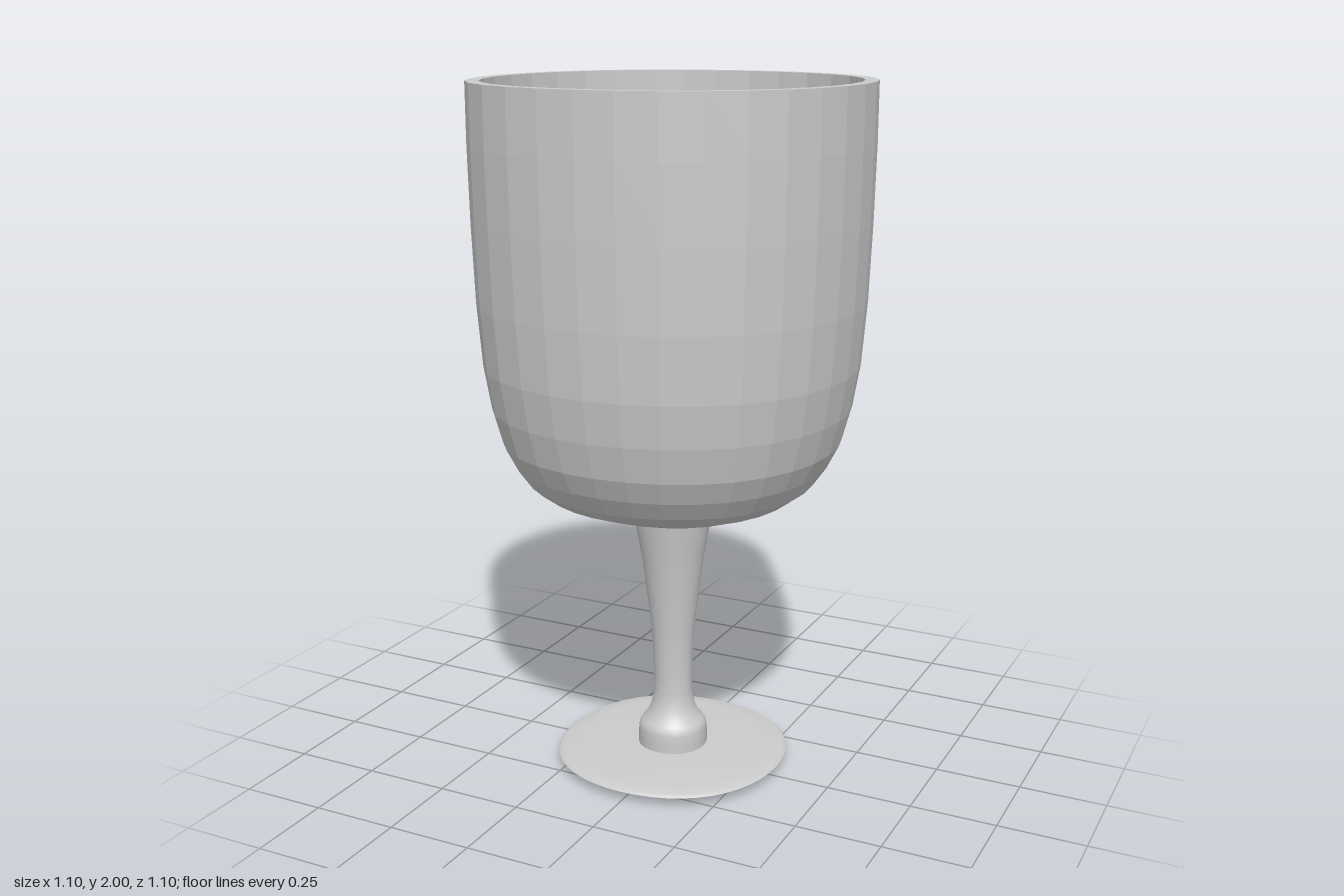
import * as THREE from 'three';

const points = (list) => list.map(([r, y]) => new THREE.Vector2(r, y));

// Revolved part with slightly fuller diagonals, a softly squared circle
function turned(name, profile, sides, flat) {
  const geometry = new THREE.LatheGeometry(points(profile), sides);
  const position = geometry.attributes.position;
  for (let i = 0; i < position.count; i++) {
    const x = position.getX(i), z = position.getZ(i);
    const swell = 1 + 0.023 * Math.sin(2 * Math.atan2(z, x)) ** 2;
    position.setXYZ(i, x * swell, position.getY(i), z * swell);
  }
  const material = new THREE.MeshStandardMaterial({
    color: 0xcccccc, flatShading: flat, side: THREE.DoubleSide,
  });
  const mesh = new THREE.Mesh(geometry, material);
  mesh.name = name;
  return mesh;
}

export function createModel() {
  const goblet = new THREE.Group();
  goblet.name = 'goblet';

  // Faceted bowl, outside
  goblet.add(turned('bowlOutside', [
    [0, 0.79], [0.03, 0.795], [0.115, 0.802], [0.115, 0.81], [0.22, 0.811], [0.29, 0.818],
    [0.355, 0.843], [0.405, 0.88], [0.444, 0.935], [0.477, 1.0], [0.504, 1.1],
    [0.524, 1.22], [0.538, 1.4], [0.546, 1.62], [0.55, 1.83], [0.55, 2],
  ], 32, true));

  // Flat rim and upright inner wall
  goblet.add(turned('rim', [[0.55, 2], [0.513, 2]], 32, true));
  goblet.add(turned('bowlInnerWall', [[0.513, 2], [0.513, 1.18]], 32, true));

  // Narrow ledge, then a slope down to the floor
  goblet.add(turned('innerLedge', [[0.513, 1.18], [0.5, 1.178]], 32, true));
  goblet.add(turned('innerSlope', [[0.5, 1.178], [0.32, 0.925]], 32, true));

  // Shallow dished floor of the bowl
  goblet.add(turned('bowlFloor', [
    [0.32, 0.925], [0.295, 0.916], [0.26, 0.907], [0.21, 0.901], [0, 0.9],
  ], 32, false));

  // Flared stem and its domed top
  const flare = new THREE.SplineCurve(points([
    [0.057, 0.21], [0.056, 0.27], [0.062, 0.4], [0.085, 0.6], [0.101, 0.7], [0.113, 0.772],
  ])).getPoints(20).map((p) => [p.x, p.y]);
  goblet.add(turned('stem', flare, 40, false));
  goblet.add(turned('stemTop', [[0.113, 0.772], [0.105, 0.778], [0.03, 0.785], [0, 0.79]], 40, false));

  // Rounded collar joining the stem to the foot
  goblet.add(turned('collar', [
    [0.101, 0.04], [0.101, 0.075], [0.1, 0.1], [0.097, 0.112], [0.09, 0.124],
    [0.076, 0.14], [0.065, 0.165], [0.059, 0.19], [0.057, 0.21],
  ], 40, false));

  // Thin lens-shaped foot
  goblet.add(turned('footUnderside', [[0, 0], [0.1, 0.003], [0.22, 0.009], [0.3, 0.017], [0.338, 0.03]], 48, false));
  goblet.add(turned('footTop', [[0.338, 0.03], [0.328, 0.038], [0.28, 0.043], [0.1, 0.047]], 48, false));

  return goblet;
}
